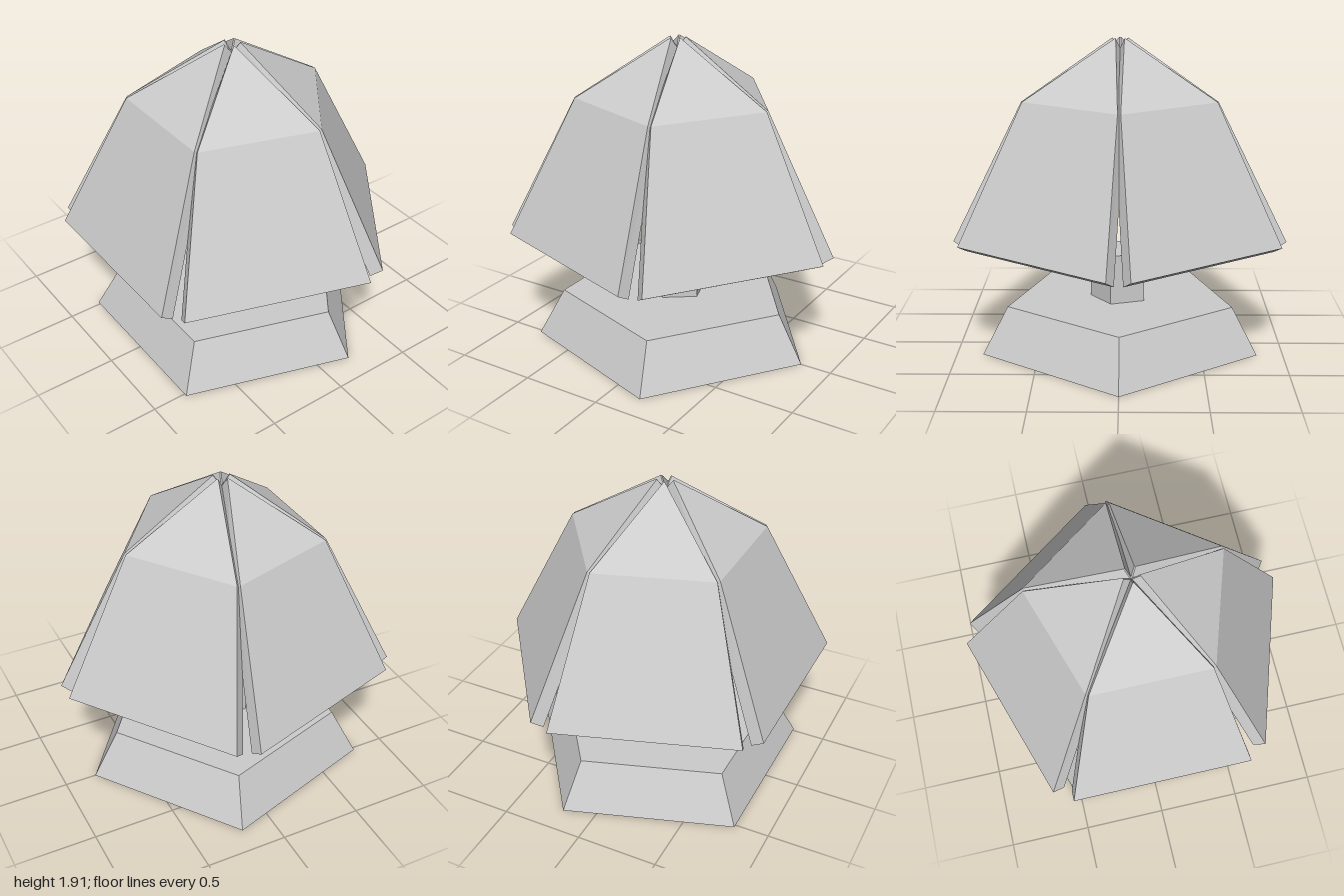
import * as THREE from 'three';

const SIDES = 5;
const CENTRE_Z = 0.077; // the pentagon's centre sits slightly forward

const material = new THREE.MeshStandardMaterial({ color: 0xcccccc, flatShading: true });

// Five-sided frustum standing on y, with its first corner at the given angle
function pentagon(name, topRadius, bottomRadius, y, height, startAngle) {
  const geometry = new THREE.CylinderGeometry(topRadius, bottomRadius, height, SIDES, 1, false, startAngle);
  const mesh = new THREE.Mesh(geometry, material);
  mesh.name = name;
  mesh.position.set(0, y + height / 2, CENTRE_Z);
  return mesh;
}

// Thick bent panel facing +z, lofted through four-cornered cross-sections
function panelGeometry() {
  // half width, outer radius and height, inner radius and height
  const sections = [
    [0.55, 0.872, 0.72, 0.8, 0.68],
    [0.35, 0.497, 1.555, 0.432, 1.505],
    [0.004, 0.05, 1.91, 0.002, 1.847],
  ];
  const loops = sections.map(([w, outR, outY, inR, inY]) => [
    [-w, outY, outR], [w, outY, outR], [w, inY, inR], [-w, inY, inR],
  ]);
  const positions = [];
  const quad = (a, b, c, d) => positions.push(...a, ...b, ...c, ...a, ...c, ...d);
  for (let i = 0; i < loops.length - 1; i++) {
    const low = loops[i];
    const high = loops[i + 1];
    for (let j = 0; j < 4; j++) {
      const k = (j + 1) % 4;
      quad(low[j], low[k], high[k], high[j]);
    }
  }
  quad(...[...loops[0]].reverse()); // lower rim
  quad(...loops[loops.length - 1]); // tip
  const geometry = new THREE.BufferGeometry();
  geometry.setAttribute('position', new THREE.Float32BufferAttribute(positions, 3));
  geometry.computeVertexNormals();
  return geometry;
}

export function createModel() {
  const model = new THREE.Group();
  model.name = 'lamp';

  // Tapered foot with a flat side to the front, and the short post on it
  model.add(pentagon('base', 0.722, 0.883, 0, 0.293, Math.PI));
  model.add(pentagon('post', 0.183, 0.183, 0.27, 0.33, Math.PI / 2));

  // Shade: five separate panels with slits between them
  const shade = new THREE.Group();
  shade.name = 'shade';
  shade.position.z = CENTRE_Z;
  const geometry = panelGeometry();
  for (let i = 0; i < SIDES; i++) {
    const panel = new THREE.Mesh(geometry, material);
    panel.name = 'shadePanel' + (i + 1);
    panel.rotation.y = (i * 2 * Math.PI) / SIDES;
    shade.add(panel);
  }
  model.add(shade);
  return model;
}
